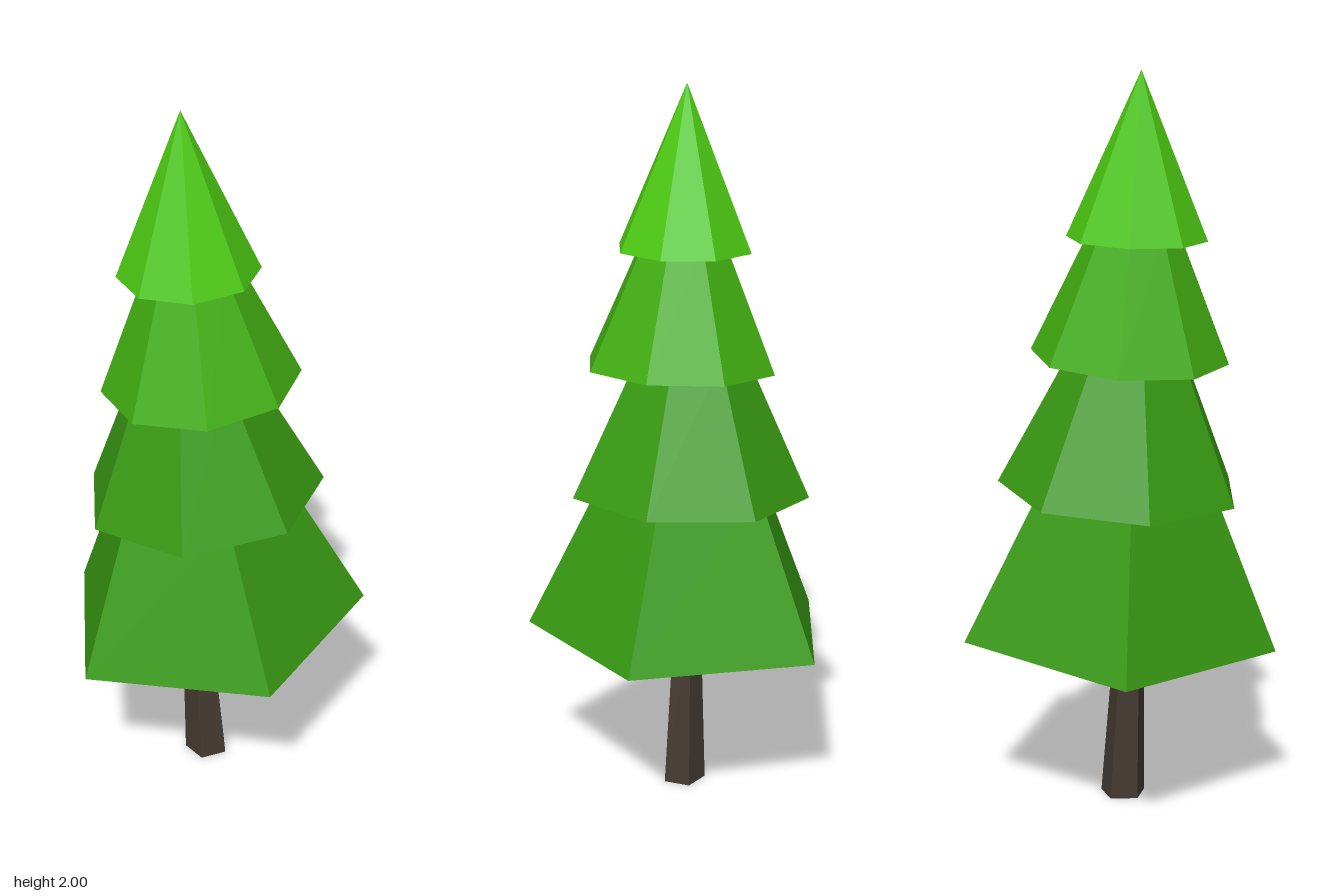
import * as THREE from 'three';

// Leaning, tapered prism from a lower ring to an upper ring; both rings tilt by slope along x.
function taper(name, material, { sides, start = Math.PI / 2, slope = 0, low, high }) {
  const geo = new THREE.CylinderGeometry(high.r, low.r, 1, sides, 1, false, start).toNonIndexed();
  const p = geo.attributes.position;
  for (let i = 0; i < p.count; i++) {
    const ring = p.getY(i) > 0 ? high : low;
    const x = p.getX(i);
    p.setXYZ(i, x + ring.x, ring.y + slope * x, p.getZ(i) + ring.z);
  }
  geo.computeVertexNormals(); // flat facets
  const mesh = new THREE.Mesh(geo, material);
  mesh.name = name;
  return mesh;
}

function makeMaterial(name, color) {
  const m = new THREE.MeshStandardMaterial({ color, flatShading: true });
  m.name = name;
  return m;
}

export function createModel() {
  const group = new THREE.Group();
  group.name = 'pineTree';

  const bark = makeMaterial('bark', 0x453a32);
  const deepGreen = makeMaterial('deepGreen', 0x389a12);
  const midGreen = makeMaterial('midGreen', 0x41ae11);
  const brightGreen = makeMaterial('brightGreen', 0x4cc912);

  // Five-sided trunk
  group.add(taper('trunk', bark, {
    sides: 5, start: -Math.PI / 2,
    low: { x: -0.052, y: 0, z: 0.01, r: 0.0635 },
    high: { x: -0.08, y: 0.5, z: 0.01, r: 0.041 },
  }));

  // Foliage tiers, each top tucked into the tier above
  group.add(taper('bottomTier', deepGreen, {
    sides: 5, slope: 0.075,
    low: { x: -0.042, y: 0.48, z: 0, r: 0.442 },
    high: { x: -0.079, y: 0.92, z: 0, r: 0.236 },
  }));
  group.add(taper('lowerTier', deepGreen, {
    sides: 7, slope: 0.08,
    low: { x: -0.058, y: 0.887, z: -0.005, r: 0.333 },
    high: { x: -0.092, y: 1.28, z: 0, r: 0.148 },
  }));
  group.add(taper('upperTier', midGreen, {
    sides: 8, slope: 0.085,
    low: { x: -0.063, y: 1.243, z: 0.02, r: 0.267 },
    high: { x: -0.087, y: 1.59, z: 0.02, r: 0.115 },
  }));
  group.add(taper('topTier', brightGreen, {
    sides: 8, slope: 0.04,
    low: { x: -0.093, y: 1.562, z: 0.02, r: 0.188 },
    high: { x: -0.11, y: 2, z: 0.02, r: 0 },
  }));

  return group;
}
